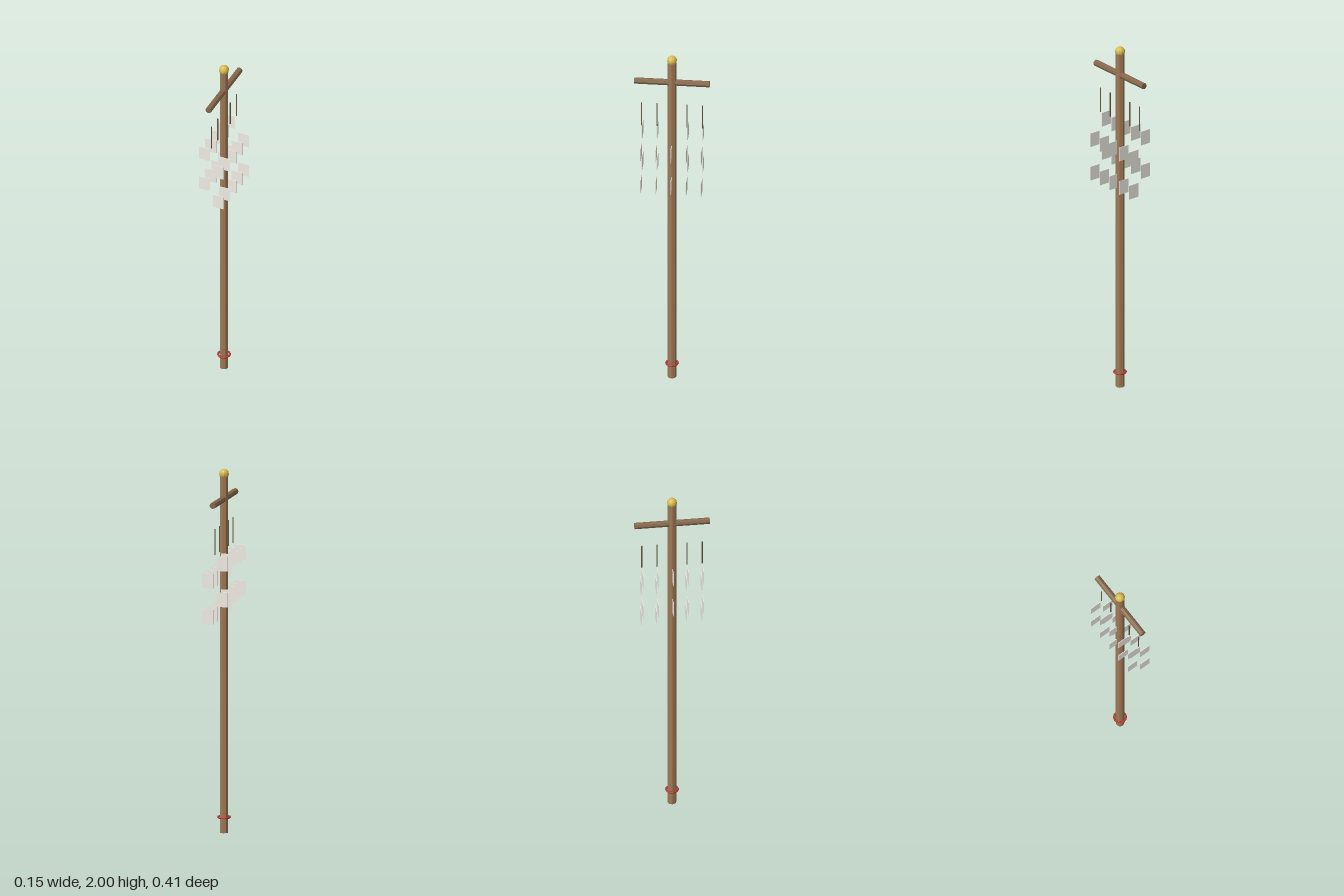
import * as THREE from 'three';

const mat = (color) => new THREE.MeshStandardMaterial({ color, flatShading: true });

export function createModel() {
  const group = new THREE.Group();
  const wood = mat(0xa07a58);
  const darkWood = mat(0x86684c);
  const gold = mat(0xd8bc50);
  const red = mat(0xb8392e);
  const cord = mat(0x6b5a40);
  const paper = mat(0xf0eee6);

  const add = (name, geometry, material, x, y, z, parent = group) => {
    const mesh = new THREE.Mesh(geometry, material);
    mesh.name = name;
    mesh.position.set(x, y, z);
    parent.add(mesh);
    return mesh;
  };

  // Upright with its ball finial
  add('pole', new THREE.CylinderGeometry(0.0235, 0.0235, 1.97, 8), wood, 0, 0.985, 0);
  add('finial', new THREE.SphereGeometry(0.0275, 10, 8), gold, 0, 1.9725, 0);

  // Crossbar running front to back
  const bar = add('crossbar', new THREE.CylinderGeometry(0.0175, 0.0175, 0.408, 8), darkWood, 0, 1.836, 0);
  bar.rotation.x = Math.PI / 2;

  // Ring near the foot
  const ring = add('footRing', new THREE.TorusGeometry(0.032, 0.006, 6, 12), red, 0, 0.085, 0);
  ring.rotation.x = Math.PI / 2;

  // Five streamers: a cord above four paper slips that alternate sides
  const cordGeometry = new THREE.CylinderGeometry(0.003, 0.003, 0.142, 6);
  const slipGeometry = new THREE.BoxGeometry(0.064, 0.08, 0.003);
  for (let i = -2; i <= 2; i++) {
    const streamer = new THREE.Group();
    streamer.name = 'streamer';
    streamer.position.z = i * 0.082;
    add('cord', cordGeometry, cord, 0, 1.63, 0, streamer);
    for (let j = 0; j < 4; j++) {
      add('paperSlip', slipGeometry, paper, j % 2 ? 0.041 : -0.041, 1.511 - j * 0.0985, 0, streamer);
    }
    group.add(streamer);
  }
  return group;
}
